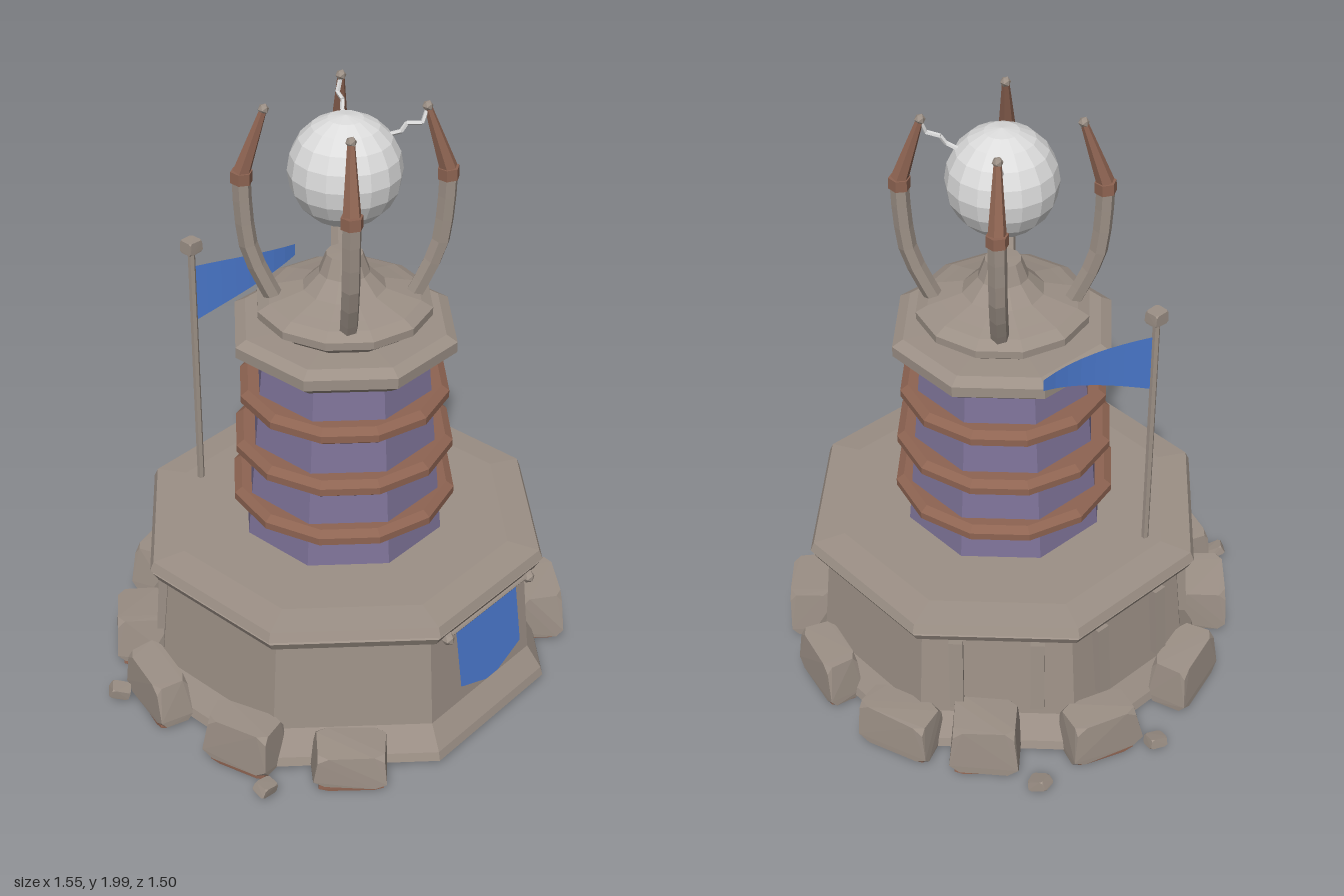
import * as THREE from 'three';
import { ConvexGeometry } from 'three/addons/geometries/ConvexGeometry.js';

const mat = (name, color, side = THREE.FrontSide) =>
  Object.assign(new THREE.MeshStandardMaterial({ color, side }), { name });

export function createModel() {
  const stone = mat('stone', 0x9c9086, THREE.DoubleSide);
  const brown = mat('copperBrown', 0x8e6452);
  const purple = mat('purpleWall', 0x7e7398);
  const blue = mat('blueCloth', 0x4a78cc, THREE.DoubleSide);
  const white = mat('paleOrb', 0xdcdcdc);

  const model = new THREE.Group();
  const tower = new THREE.Group();
  tower.name = 'tower';
  tower.position.set(0.025, 0, 0.088);
  model.add(tower);

  let seed = 7;
  const rand = () => (seed = (seed * 16807) % 2147483647) / 2147483647;
  const jitter = (a) => (rand() - 0.5) * a;

  // Faceted mesh helper
  function add(parent, name, geometry, material) {
    const g = geometry.index ? geometry.toNonIndexed() : geometry;
    g.computeVertexNormals();
    const mesh = new THREE.Mesh(g, material);
    mesh.name = name;
    parent.add(mesh);
    return mesh;
  }

  // Polygonal turned part; octagons are given by apothem with a flat side forward
  function turned(name, profile, material, sides = 8) {
    const k = sides === 8 ? 1 / Math.cos(Math.PI / 8) : 1;
    const pts = profile.map(([r, y]) => new THREE.Vector2(r * k, y));
    return add(tower, name, new THREE.LatheGeometry(pts, sides, sides === 8 ? Math.PI / 8 : 0), material);
  }

  // Tapered bar between two points
  function bar(parent, name, a, b, r0, r1, material, sides = 6) {
    const va = new THREE.Vector3(...a), vb = new THREE.Vector3(...b);
    const d = vb.clone().sub(va);
    const m = add(parent, name, new THREE.CylinderGeometry(r1, r0, d.length(), sides), material);
    m.position.copy(va).add(vb).multiplyScalar(0.5);
    m.quaternion.setFromUnitVectors(new THREE.Vector3(0, 1, 0), d.normalize());
    return m;
  }

  // Bevelled irregular block
  function block(name, w, h, d, material) {
    const pts = [], b = 0.22;
    for (const sx of [-1, 1]) for (const sy of [-1, 1]) for (const sz of [-1, 1]) {
      const taper = sy > 0 ? 0.92 : 1;
      const j = [jitter(0.14), jitter(0.14), jitter(0.14)];
      for (let cut = 0; cut < 3; cut++) {
        const f = [0, 1, 2].map((i) => 1 - (i === cut ? b * 1.4 : 0) + j[i]);
        pts.push(new THREE.Vector3(sx * f[0] * taper * w / 2, sy * f[1] * h / 2, sz * f[2] * taper * d / 2));
      }
    }
    return add(model, name, new ConvexGeometry(pts), material);
  }

  // Hollow octagonal base with flared foot, cornice and flat roof
  turned('base', [[0.66, 0.03], [0.652, 0.06], [0.605, 0.14], [0.575, 0.46]], stone);
  turned('cornice', [[0.575, 0.46], [0.605, 0.468], [0.622, 0.5], [0.605, 0.51],
    [0.63, 0.515], [0.618, 0.545], [0.52, 0.555], [0, 0.557]], stone);

  // Battens on the three rear walls
  for (const a of [0.75, 1, 1.25]) {
    const wall = new THREE.Group();
    wall.name = 'rearBattens';
    wall.rotation.y = a * Math.PI;
    tower.add(wall);
    for (const x of [-0.13, 0.13]) {
      const m = add(wall, 'batten', new THREE.BoxGeometry(0.045, 0.27, 0.04), stone);
      m.position.set(x, 0.315, 0.597);
      m.rotation.x = -0.07;
    }
  }

  // Shaft with three hoops
  turned('shaft', [[0.312, 0.55], [0.257, 1.2]], purple);
  for (const [y, r] of [[0.68, 0.366], [0.862, 0.356], [1.045, 0.338]]) {
    turned('hoop', [[r - 0.08, y - 0.03], [r - 0.025, y - 0.03], [r, y - 0.012], [r, y + 0.012],
      [r - 0.025, y + 0.03], [r - 0.08, y + 0.03]], brown, 12);
  }

  // Collar, drum and nub
  turned('collar', [[0.24, 1.19], [0.295, 1.195], [0.338, 1.23], [0.338, 1.265], [0.305, 1.285], [0, 1.29]], stone);
  turned('drum', [[0.22, 1.28], [0.24, 1.305], [0.277, 1.325], [0.277, 1.35], [0.24, 1.37], [0.2, 1.38],
    [0.13, 1.4], [0.08, 1.45], [0.057, 1.51], [0, 1.512]], stone, 12);

  // Orb
  add(tower, 'orb', new THREE.SphereGeometry(0.173, 16, 10), white).position.y = 1.787;

  // Four curved prongs with copper claws
  for (const sx of [-1, 1]) for (const sz of [-1, 1]) {
    const at = (o, y) => new THREE.Vector3(sx * o, y, sz * o);
    const path = new THREE.CatmullRomCurve3([at(0.145, 1.34), at(0.175, 1.43), at(0.203, 1.53), at(0.214, 1.65), at(0.217, 1.77)]);
    add(tower, 'prong', new THREE.TubeGeometry(path, 6, 0.029, 6), stone);
    const p = (o, y) => at(o, y).toArray();
    bar(tower, 'prongJoint', p(0.217, 1.752), p(0.216, 1.788), 0.034, 0.034, brown);
    bar(tower, 'claw', p(0.216, 1.785), p(0.17, 1.975), 0.028, 0.012, brown);
    const tip = add(tower, 'clawTip', new THREE.IcosahedronGeometry(0.017, 0), stone);
    tip.position.copy(at(0.168, 1.983));
    if (sx > 0) {
      // Zigzag spark from tip to orb
      const zig = [p(0.168, 1.98), [0.15, 1.935, sz * 0.165], [0.128, 1.93, sz * 0.125], [0.115, 1.905, sz * 0.115], [0.095, 1.89, sz * 0.08]];
      for (let i = 0; i < 4; i++) bar(tower, 'spark', zig[i], zig[i + 1], 0.007, 0.007, white, 5);
    }
  }

  // Front banner on a rod with stone knobs
  const shape = new THREE.Shape([[-0.153, 0], [-0.153, -0.215], [-0.03, -0.26], [0.03, -0.26], [0.153, -0.215], [0.153, 0]]
    .map(([x, y]) => new THREE.Vector2(x, y)));
  const banner = add(model, 'banner', new THREE.ShapeGeometry(shape), blue);
  banner.position.set(0.025, 0.462, 0.695);
  banner.rotation.x = -0.15;
  bar(model, 'bannerRod', [-0.18, 0.468, 0.7], [0.23, 0.468, 0.7], 0.007, 0.007, stone);
  for (const x of [-0.18, 0.23]) {
    add(model, 'rodKnob', new THREE.IcosahedronGeometry(0.022, 0), stone).position.set(x, 0.468, 0.705);
    bar(model, 'rodBracket', [x, 0.468, 0.64], [x, 0.468, 0.71], 0.01, 0.01, stone);
  }

  // Rear flagpole with curved pennant and pebble finial
  bar(model, 'flagPole', [-0.17, 0.55, -0.38], [-0.17, 1.415, -0.38], 0.012, 0.012, stone);
  const pennant = new THREE.PlaneGeometry(1, 1, 8, 1);
  const pos = pennant.attributes.position;
  for (let i = 0; i < pos.count; i++) {
    const t = pos.getX(i) + 0.5, v = pos.getY(i) + 0.5;
    const top = 1.365 - 0.03 * t * t, height = 0.2 * (1 - t) + 0.04 * t;
    pos.setXYZ(i, -0.17 + 0.37 * t, top - height * (1 - v), -0.38 + 0.1 * Math.sin(t * Math.PI / 2));
  }
  add(model, 'pennant', pennant, blue);
  block('finial', 0.055, 0.04, 0.05, stone).position.set(-0.17, 1.44, -0.38);

  // Boulders around the foot, earthy underneath: x, z, length, depth, height
  const boulders = [
    [-0.17, -0.585, 0.24, 0.13, 0.17], [0.23, -0.585, 0.24, 0.13, 0.16],
    [-0.48, -0.37, 0.22, 0.17, 0.16], [0.53, -0.37, 0.22, 0.17, 0.18],
    [-0.645, -0.12, 0.25, 0.12, 0.15], [0.685, -0.13, 0.25, 0.13, 0.15],
    [-0.645, 0.27, 0.23, 0.12, 0.16], [0.695, 0.235, 0.23, 0.12, 0.17],
    [-0.47, 0.56, 0.24, 0.15, 0.12], [0.53, 0.54, 0.23, 0.15, 0.17],
  ];
  for (const [x, z, w, d, h] of boulders) {
    const turn = Math.atan2(x - 0.025, z - 0.088);
    const rock = block('boulder', w, h, d, stone);
    rock.position.set(x, 0.025 + h / 2, z);
    rock.rotation.set(0, turn, jitter(0.1));
    const soil = block('boulderSoil', w * 0.85, 0.06, d * 0.85, brown);
    soil.position.set(x, 0.037, z);
    soil.rotation.y = turn;
  }

  // Loose chips
  for (const [x, z] of [[0.1, -0.72], [0.5, -0.59], [-0.72, -0.23], [-0.715, 0.43]]) {
    const chip = block('chip', 0.065, 0.035, 0.05, stone);
    chip.position.set(x, 0.05, z);
    chip.rotation.set(0.2, x * 5 + z, 0.25);
  }
  return model;
}
